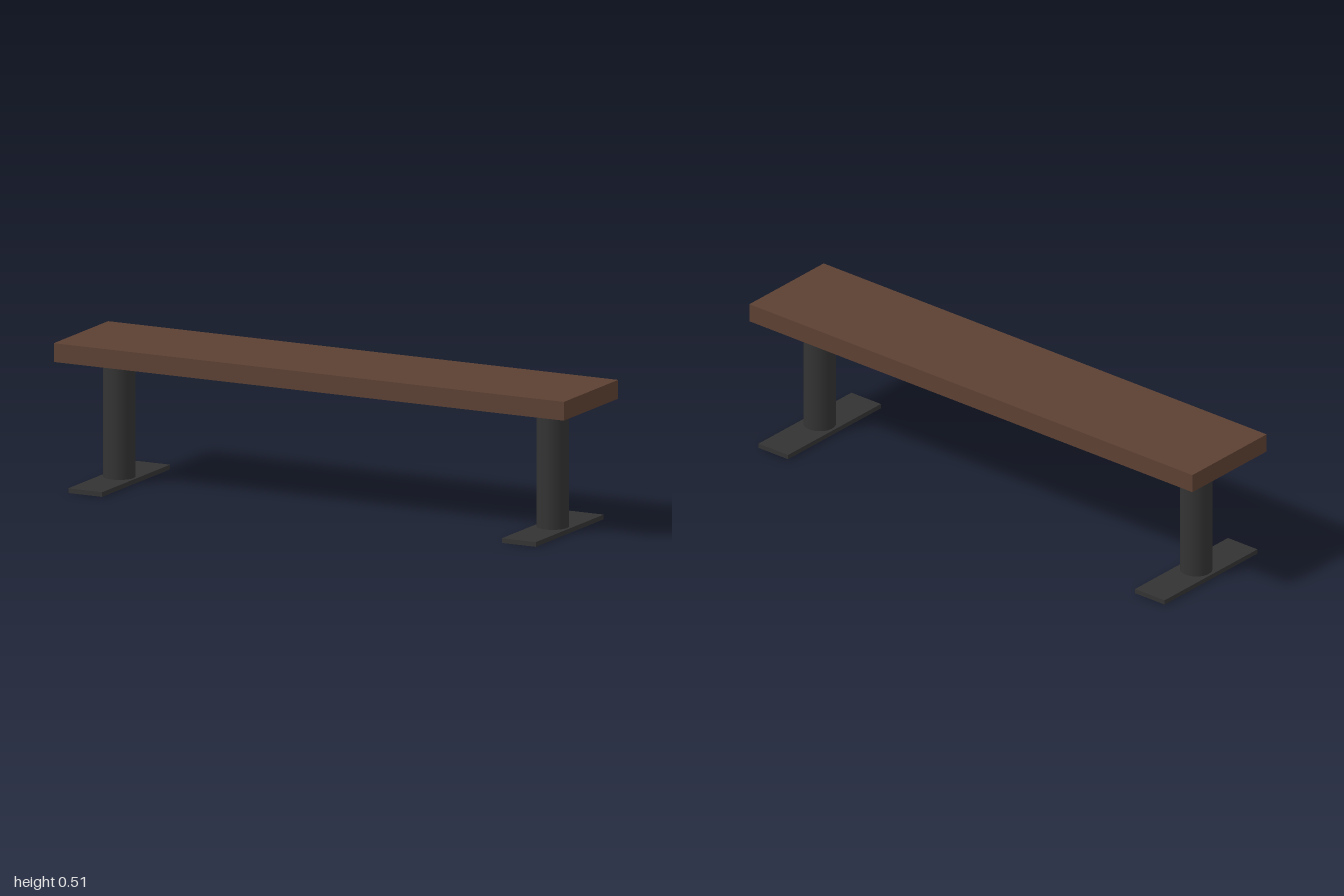
import * as THREE from 'three';

const SEAT_BOTTOM = 0.446, SEAT_TOP = 0.5125, FOOT_HEIGHT = 0.0167;

export function createModel() {
  const bench = new THREE.Group();
  bench.name = 'bench';

  const wood = new THREE.MeshStandardMaterial({ color: 0x5c4033 });
  wood.name = 'brown wood';
  const metal = new THREE.MeshStandardMaterial({ color: 0x333333 });
  metal.name = 'dark metal';

  const addPart = (name, geometry, material, x, y) => {
    const mesh = new THREE.Mesh(geometry, material);
    mesh.name = name;
    mesh.position.set(x, y, 0);
    bench.add(mesh);
  };

  // Seat plank
  const seatThickness = SEAT_TOP - SEAT_BOTTOM;
  addPart('seat', new THREE.BoxGeometry(2, seatThickness, 0.4), wood, 0, SEAT_BOTTOM + seatThickness / 2);

  // Round legs, each on a flat foot plate
  const legHeight = SEAT_BOTTOM - FOOT_HEIGHT;
  const legGeometry = new THREE.CylinderGeometry(0.056, 0.056, legHeight, 32);
  const footGeometry = new THREE.BoxGeometry(0.133, FOOT_HEIGHT, 0.5);
  for (const [side, x] of [['left', 0.85], ['right', -0.85]]) {
    addPart(side + 'Leg', legGeometry, metal, x, FOOT_HEIGHT + legHeight / 2);
    addPart(side + 'Foot', footGeometry, metal, x, FOOT_HEIGHT / 2);
  }

  return bench;
}
